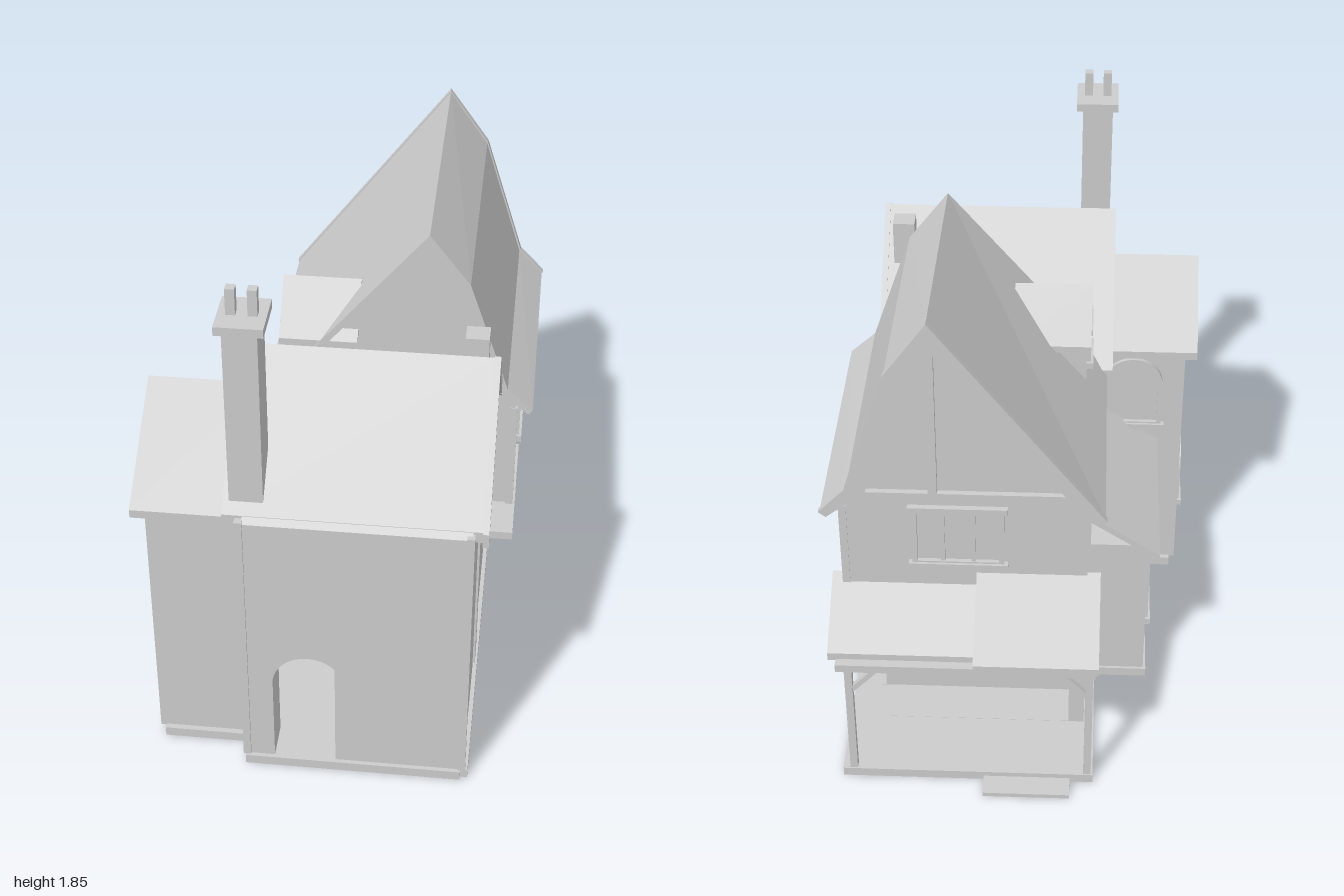
import * as THREE from 'three';

const mat = new THREE.MeshStandardMaterial({ color: 0xcccccc, flatShading: true, side: THREE.FrontSide });

export function createModel() {
  const house = new THREE.Group();
  house.name = 'house';

  const add = (name, geo, parent = house) => {
    const m = new THREE.Mesh(geo, mat);
    m.name = name;
    parent.add(m);
    return m;
  };
  // box from its limits on each axis
  const box = (name, x0, x1, y0, y1, z0, z1, parent) => {
    const g = new THREE.BoxGeometry(x1 - x0, y1 - y0, z1 - z0);
    g.translate((x0 + x1) / 2, (y0 + y1) / 2, (z0 + z1) / 2);
    return add(name, g, parent);
  };
  const shapeOf = pts => new THREE.Shape(pts.map(p => new THREE.Vector2(p[0], p[1])));
  const extrude = (shape, depth) => new THREE.ExtrudeGeometry(shape, { depth, bevelEnabled: false, curveSegments: 10 });
  // (x, y) section run along z
  const prismZ = (pts, z0, z1) => extrude(shapeOf(pts), z1 - z0).translate(0, 0, z0);
  // (z, y) section run along x
  const prismX = (pts, x0, x1) =>
    extrude(shapeOf(pts.map(p => [-p[0], p[1]])), x1 - x0).rotateY(Math.PI / 2).translate(x0, 0, 0);
  // slab of vertical thickness t below a roof line
  const band = (pts, t) => [...pts, ...pts.map(p => [p[0], p[1] - t]).reverse()];
  // square timber between two points
  const beam = (name, a, b, w) => {
    const p = new THREE.Vector3(...a), q = new THREE.Vector3(...b);
    const m = add(name, new THREE.BoxGeometry(w, w, p.distanceTo(q)));
    m.position.copy(p).lerp(q, 0.5);
    m.lookAt(q);
    return m;
  };
  const outline = (w, h, arched, path) => {
    const r = w / 2;
    path.moveTo(-r, 0);
    path.lineTo(r, 0);
    if (arched) {
      path.lineTo(r, h - r);
      path.absarc(0, h - r, r, 0, Math.PI, false);
    } else {
      path.lineTo(r, h);
      path.lineTo(-r, h);
    }
    path.closePath();
    return path;
  };
  // window standing on its sill at (x, y, z), turned by ry
  const windowUnit = (name, x, y, z, ry, w, h, panes, arched = false) => {
    const g = new THREE.Group();
    g.name = name;
    const s = outline(w, h, arched, new THREE.Shape());
    const hole = outline(w - 0.036, h - 0.036, arched, new THREE.Path());
    s.holes.push(new THREE.Path(hole.getPoints(10).map(p => p.add(new THREE.Vector2(0, 0.018)))));
    add('windowFrame', extrude(s, 0.015), g);
    for (let i = 1; i < panes; i++) {
      const mx = -w / 2 + (w * i) / panes;
      box('mullion', mx - 0.007, mx + 0.007, 0.01, h - 0.01, 0, 0.011, g);
    }
    box('sill', -w / 2 - 0.012, w / 2 + 0.012, -0.012, 0.012, 0, 0.024, g);
    if (!arched) box('lintel', -w / 2 - 0.012, w / 2 + 0.012, h - 0.01, h + 0.012, 0, 0.02, g);
    g.position.set(x, y, z);
    g.rotation.y = ry;
    house.add(g);
  };

  // foundation
  box('base', -0.28, 0.46, 0, 0.035, -0.66, 1.0);
  box('baseEdge', 0.46, 0.485, 0, 0.035, -0.5, 0.985);
  box('baseLeft', -0.58, -0.28, 0, 0.035, 0.26, 0.9);
  box('baseLeanTo', -0.48, -0.28, 0, 0.035, -0.38, 0.26);
  box('porchFloor', -0.29, 0.58, 0, 0.034, -0.92, -0.32);
  box('porchStep', -0.21, 0.09, 0, 0.016, -1.0, -0.92);

  // main block: hollow shell whose front is replaced by a wall with a doorway
  const front = 0.985;
  const body = prismX([[front, 0.03], [front, 1.04], [0.56, 1.42], [0.13, 1.01], [-0.5, 1.0], [-0.5, 0.03]], -0.265, 0.47);
  const src = body.attributes.position.array, keep = [];
  for (let i = 0; i < src.length; i += 9) {
    if (Math.min(src[i + 2], src[i + 5], src[i + 8]) < front - 0.01) keep.push(...src.slice(i, i + 9));
  }
  const shell = new THREE.BufferGeometry();
  shell.setAttribute('position', new THREE.Float32BufferAttribute(keep, 3));
  shell.computeVertexNormals();
  add('mainWalls', shell);
  add('frontWall', new THREE.ShapeGeometry(shapeOf([
    [-0.265, 0.03], [-0.22, 0.03], [-0.22, 0.52], [0.03, 0.52], [0.03, 0.03], [0.47, 0.03], [0.47, 1.04], [-0.265, 1.04],
  ])).translate(0, 0, front));

  // arched doorway
  const arch = new THREE.Shape();
  arch.moveTo(-0.22, 0.03);
  arch.lineTo(-0.18, 0.03);
  arch.lineTo(-0.18, 0.37);
  arch.absarc(-0.06, 0.37, 0.12, Math.PI, 0.723, true);
  arch.lineTo(0.03, 0.52);
  arch.lineTo(-0.22, 0.52);
  add('doorArch', extrude(arch, 0.13).translate(0, 0, front - 0.13));

  // corner posts
  box('cornerPost', -0.288, -0.262, 0.035, 1.05, 0.965, 0.992);
  box('cornerPost', 0.452, 0.477, 0.035, 1.05, 0.965, 0.992);

  // main roof with barge boards on the right gable
  const mainLine = [[0.965, 1.06], [0.56, 1.45], [0.12, 1.03]];
  add('mainRoof', prismX(band(mainLine, 0.04), -0.33, 0.505));
  add('mainBargeBoard', prismX(band([[0.975, 1.06], [0.56, 1.455], [0.12, 1.035]], 0.052), 0.5, 0.52));

  // side chimney against the right gable
  box('sideChimney', 0.4, 0.478, 0.06, 1.46, 0.398, 0.475);

  // tall chimney
  box('chimney', -0.31, -0.2, 1.08, 1.735, 0.8, 0.932);
  box('chimneyCap', -0.33, -0.177, 1.73, 1.76, 0.78, 0.957);
  for (const x of [-0.288, -0.22]) box('chimneyPot', x - 0.015, x + 0.015, 1.76, 1.85, 0.853, 0.885);

  // left block
  add('leftWalls', prismX([[0.88, 0.03], [0.88, 1.0], [0.53, 1.245], [0.28, 1.03], [0.28, 0.03]], -0.6, -0.25));
  add('leftRoof', prismX(band([[0.92, 1.015], [0.53, 1.275], [0.23, 1.04]], 0.03), -0.64, -0.26));

  // rear wing, whose ridge drops toward the front
  const taper = g => {
    const p = g.attributes.position;
    for (let i = 0; i < p.count; i++) {
      const y = p.getY(i);
      if (y > 1) p.setY(i, 1 + (y - 1) * (1 - 0.092 * (p.getZ(i) + 0.72) / 0.94));
    }
    g.computeVertexNormals();
    return g;
  };
  const wingLine = [[0.63, 1.02], [0.54, 1.11], [0.4, 1.56], [0.26, 1.76], [-0.31, 1.01]];
  add('wingWalls', taper(prismZ([
    [0.57, 0.585], [0.57, 1.04], [0.525, 1.09], [0.38, 1.54], [0.26, 1.72], [-0.255, 1.04], [-0.255, 0.585],
  ], -0.66, 0.19)));
  add('wingRoof', taper(prismZ([...wingLine, [-0.305, 0.985], [0.26, 1.715], [0.375, 1.54], [0.515, 1.09], [0.615, 1.0]], -0.71, 0.225)));
  add('wingBargeBoard', prismZ([
    [0.635, 1.02], [0.545, 1.115], [0.403, 1.565], [0.26, 1.765], [-0.315, 1.01],
    [-0.295, 0.985], [0.26, 1.7], [0.368, 1.535], [0.505, 1.085], [0.61, 1.0],
  ], -0.722, -0.7));
  box('jettyFloor', -0.25, 0.55, 0.55, 0.59, -0.66, -0.11);
  box('jettyEdge', -0.26, 0.56, 0.555, 0.58, -0.685, -0.655);
  for (const z of [0.18, -0.65]) box('wingPost', 0.552, 0.578, 0.58, 1.0, z - 0.013, z + 0.013);

  // gable timbers
  const gz = -0.665;
  beam('gableTie', [-0.22, 1.06, gz], [0.54, 1.06, gz], 0.03);
  beam('kingPost', [0.26, 1.06, gz], [0.26, 1.68, gz], 0.03);
  beam('gableRafter', [-0.2, 1.07, gz], [0.25, 1.65, gz], 0.03);
  beam('gableRafter', [0.5, 1.07, gz], [0.36, 1.52, gz], 0.03);
  beam('gableRafter', [0.36, 1.52, gz], [0.26, 1.67, gz], 0.03);

  // dormer on the left slope
  add('dormerWalls', prismX([[-0.04, 1.0], [-0.04, 1.25], [0.08, 1.39], [0.2, 1.25], [0.2, 1.0]], -0.235, 0.0));
  add('dormerRoof', prismX(band([[-0.06, 1.25], [0.08, 1.42], [0.22, 1.25]], 0.025), -0.25, 0.02));

  // lean-to on the left side
  box('leanToWalls', -0.47, -0.25, 0.03, 0.62, -0.37, 0.285);
  add('leanToRoof', prismZ(band([[-0.51, 0.61], [-0.25, 0.785]], 0.025), -0.41, 0.285));

  // porch
  box('porchSideWall', -0.255, -0.2, 0.03, 0.59, -0.66, -0.49);
  add('porchRoofHigh', prismX(band([[-0.65, 0.73], [-0.94, 0.555]], 0.03), -0.3, 0.12));
  add('porchRoofLow', prismX(band([[-0.63, 0.69], [-0.87, 0.53]], 0.03), 0.12, 0.615));
  box('porchBeam', -0.29, 0.585, 0.49, 0.52, -0.917, -0.885);
  for (const x of [-0.27, 0.543]) {
    box('porchPost', x - 0.013, x + 0.013, 0.03, 0.52, -0.915, -0.888);
    beam('porchBrace', [x, 0.4, -0.9], [x, 0.55, -0.78], 0.018);
    const s = x < 0 ? 0.1 : -0.1;
    beam('porchBrace', [x, 0.39, -0.9], [x + s, 0.5, -0.9], 0.018);
  }

  // windows
  const R = Math.PI / 2;
  windowUnit('rightWindow', 0.57, 0.755, -0.09, R, 0.225, 0.245, 2, true);
  windowUnit('rearWindow', 0.18, 0.765, -0.66, Math.PI, 0.31, 0.235, 3);
  windowUnit('porchWindow', 0.28, 0.17, -0.5, Math.PI, 0.24, 0.28, 2);
  windowUnit('leftUpperWindow', -0.255, 0.76, 0.01, -R, 0.42, 0.21, 4);
  windowUnit('leftBlockRearWindow', -0.41, 0.68, 0.28, Math.PI, 0.22, 0.3, 1, true);
  windowUnit('leftBlockSideWindow', -0.6, 0.2, 0.52, -R, 0.2, 0.25, 1, true);
  windowUnit('leanToWindow', -0.47, 0.15, -0.085, -R, 0.3, 0.32, 2);
  windowUnit('dormerWindow', -0.235, 1.13, 0.08, -R, 0.14, 0.14, 1);

  return house;
}
